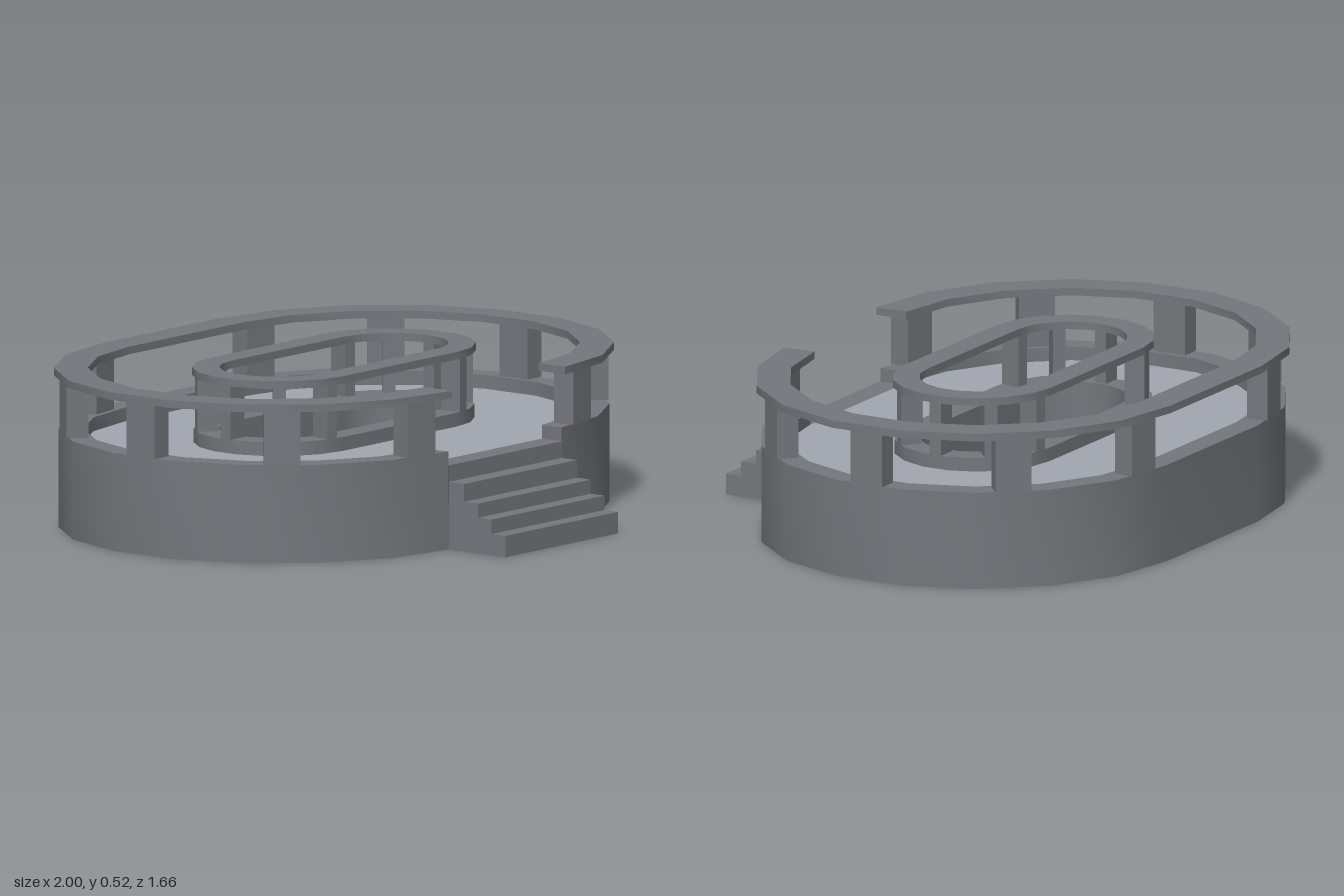
import * as THREE from 'three';
import { mergeGeometries } from 'three/addons/utils/BufferGeometryUtils.js';

const HALF = 0.29;   // half length of the straight sides, also half the stair width
const CZ = -0.11;    // centre of the oval in z
const STEPS = 9;     // facets per rounded end

// Points of an oval: right end front to back, then left end back to front
function oval(r) {
  const pts = [];
  for (const side of [1, -1]) {
    for (let i = 0; i <= STEPS; i++) {
      const a = Math.PI / 2 - (i / STEPS) * Math.PI;
      pts.push([side * (HALF + r * Math.cos(a)), CZ + side * r * Math.sin(a)]);
    }
  }
  // the left end must keep running from back to front
  return pts;
}

// Sweep a profile of [radius, y] points round the oval, creased at each profile point
function sweep(profile, closed) {
  const strips = [];
  for (let k = 0; k < profile.length - 1; k++) {
    const [p, q] = [profile[k], profile[k + 1]];
    const [a, b] = [oval(p[0]), oval(q[0])];
    const n = a.length, pos = [], idx = [];
    for (let i = 0; i < n; i++) pos.push(a[i][0], p[1], a[i][1], b[i][0], q[1], b[i][1]);
    for (let i = 0; i < (closed ? n : n - 1); i++) {
      const u = 2 * i, v = 2 * ((i + 1) % n);
      idx.push(u, v, u + 1, v, v + 1, u + 1);
    }
    const g = new THREE.BufferGeometry();
    g.setAttribute('position', new THREE.Float32BufferAttribute(pos, 3));
    g.setIndex(idx);
    g.computeVertexNormals();
    strips.push(g);
  }
  return mergeGeometries(strips);
}

const railProfile = (r0, r1) => [[r1, 0.495], [r1, 0.52], [r0, 0.52], [r0, 0.495], [r1, 0.495]];

export function createModel() {
  const group = new THREE.Group();
  const stone = new THREE.MeshStandardMaterial({ color: 0x74777c, side: THREE.DoubleSide });
  stone.name = 'dark grey stone';
  const paving = new THREE.MeshStandardMaterial({ color: 0xa2a7b0, side: THREE.DoubleSide });
  paving.name = 'light grey paving';

  const add = (name, geometry, material = stone) => {
    const mesh = new THREE.Mesh(geometry, material);
    mesh.name = name;
    group.add(mesh);
    return mesh;
  };

  // Outer wall with its curb, open at the front for the stairs
  add('outerWall', sweep([[0.705, 0], [0.705, 0.32], [0.625, 0.32], [0.625, 0.275]], false));
  add('outerRail', sweep(railProfile(0.61, 0.72), false));

  // Closed ends of the curb and rail beside the entrance
  for (const s of [1, -1]) {
    const cap = (name, r0, r1, y0, y1) => {
      const mesh = add(name, new THREE.PlaneGeometry(r1 - r0, y1 - y0));
      mesh.rotation.y = -s * Math.PI / 2;
      mesh.position.set(s * HALF, (y0 + y1) / 2, CZ + (r0 + r1) / 2);
    };
    cap('curbEnd', 0.625, 0.705, 0.275, 0.32);
    cap('railEnd', 0.61, 0.72, 0.495, 0.52);
  }

  // Deck between the two curbs
  add('deck', sweep([[0.625, 0.275], [0.27, 0.275]], true), paving);

  // Inner curb and the shaft that runs down through the middle
  add('innerCurb', sweep([[0.27, 0.275], [0.27, 0.32], [0.19, 0.32]], true));
  add('shaft', sweep([[0.19, 0.32], [0.19, 0]], true));
  add('innerRail', sweep(railProfile(0.188, 0.275), true));

  // Posts at every second facet of both rounded ends
  const posts = (name, r, depth, width) => {
    const geometry = new THREE.BoxGeometry(depth, 0.175, width);
    for (const s of [1, -1]) {
      for (const deg of [-80, -40, 0, 40, 80]) {
        const a = THREE.MathUtils.degToRad(deg);
        const post = add(name, geometry);
        post.position.set(s * (HALF + r * Math.cos(a)), 0.4075, CZ + r * Math.sin(a));
        post.rotation.y = -s * a;
      }
    }
  };
  posts('outerPost', 0.668, 0.072, 0.117);
  posts('innerPost', 0.232, 0.07, 0.042);

  // Entrance sill and stairs, a folded sheet from back to front: [z, y]
  const fold = [[0.515, 0.275], [0.597, 0.275], [0.597, 0.221], [0.66, 0.221], [0.66, 0.163],
    [0.717, 0.163], [0.717, 0.117], [0.773, 0.117], [0.773, 0.07], [0.83, 0.07], [0.83, 0]];
  const faces = [];
  for (let i = 0; i < fold.length - 1; i++) {
    const [[z0, y0], [z1, y1]] = [fold[i], fold[i + 1]];
    const flat = y0 === y1;
    const g = new THREE.PlaneGeometry(2 * HALF, flat ? z1 - z0 : y0 - y1);
    if (flat) g.rotateX(-Math.PI / 2);
    faces.push(g.translate(0, (y0 + y1) / 2, (z0 + z1) / 2));
  }
  add('stairs', mergeGeometries(faces));

  // Stair sides
  const outline = [...fold.slice(2), [0.597, 0]].map(([z, y]) => new THREE.Vector2(z, y));
  const sideGeometry = new THREE.ShapeGeometry(new THREE.Shape(outline)).rotateY(-Math.PI / 2);
  for (const s of [1, -1]) add('stairSide', sideGeometry).position.x = s * HALF;

  return group;
}
